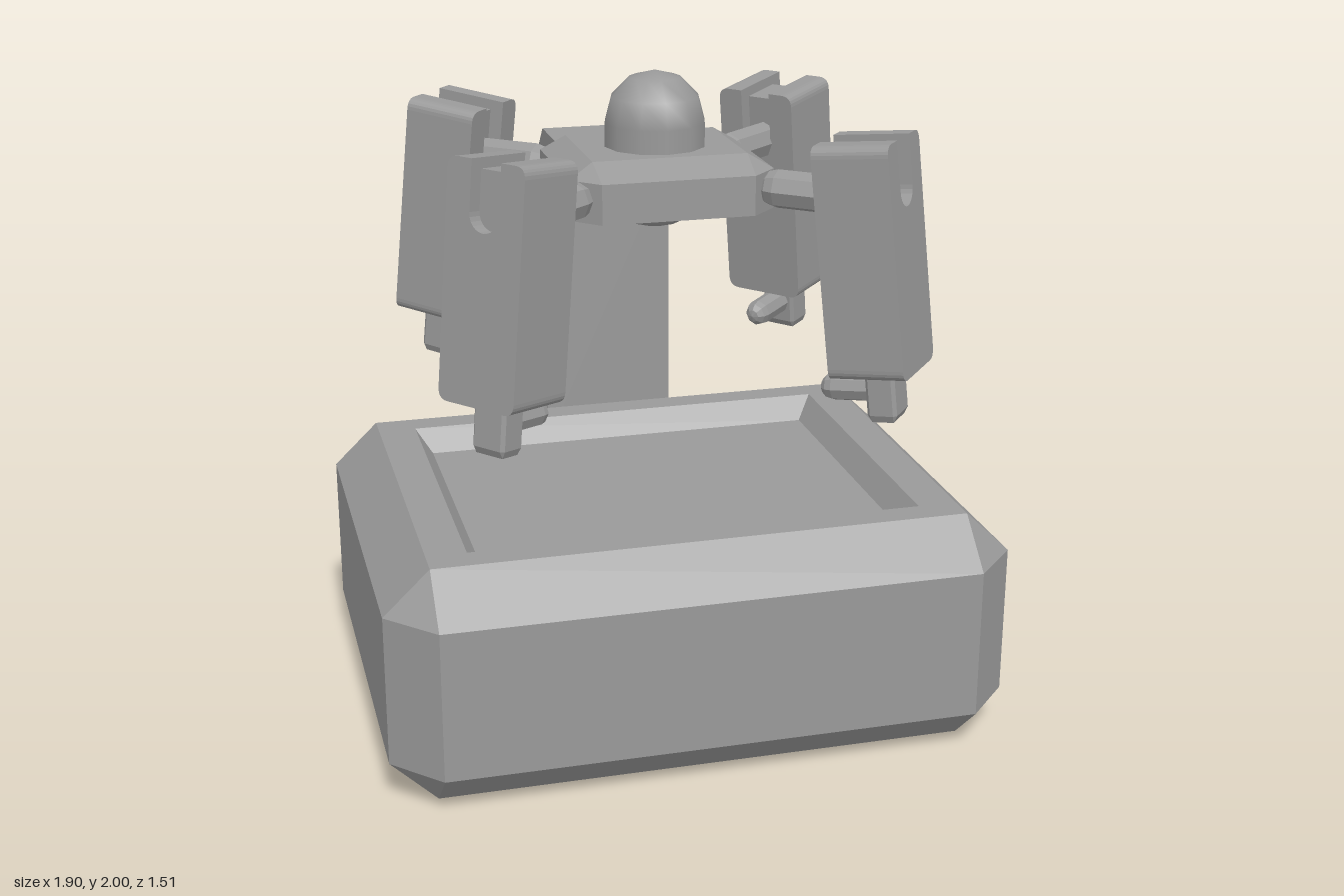
import * as THREE from 'three';

const material = new THREE.MeshStandardMaterial({ color: 0x999999 });
const flat = new THREE.MeshStandardMaterial({ color: 0x999999, flatShading: true });

function add(parent, name, geometry, mat = material) {
  const mesh = new THREE.Mesh(geometry, mat);
  mesh.name = name;
  parent.add(mesh);
  return mesh;
}

// Solid lofted through rectangles with cut corners: [y, halfX, halfZ, cutX, cutZ]
function loftRings(rings) {
  const loops = rings.map(([y, hx, hz, cx = 0, cz = 0]) => {
    const a = hx - cx, b = hz - cz;
    return [[hx, -b], [hx, b], [a, hz], [-a, hz], [-hx, b], [-hx, -b], [-a, -hz], [a, -hz]]
      .map(([x, z]) => new THREE.Vector3(x, y, z));
  });
  const positions = [];
  const tri = (a, b, c) => {
    if (a.equals(b) || b.equals(c) || a.equals(c)) return;
    for (const p of [a, b, c]) positions.push(p.x, p.y, p.z);
  };
  const first = loops[0], last = loops[loops.length - 1];
  const c0 = new THREE.Vector3(0, rings[0][0], 0);
  const c1 = new THREE.Vector3(0, rings[rings.length - 1][0], 0);
  for (let i = 0; i < 8; i++) {
    const j = (i + 1) % 8;
    tri(c0, first[i], first[j]);
    tri(c1, last[j], last[i]);
    for (let k = 0; k + 1 < loops.length; k++) {
      const lo = loops[k], hi = loops[k + 1];
      tri(lo[i], hi[i], hi[j]);
      tri(lo[i], hi[j], lo[j]);
    }
  }
  const geometry = new THREE.BufferGeometry();
  geometry.setAttribute('position', new THREE.Float32BufferAttribute(positions, 3));
  geometry.computeVertexNormals();
  return geometry;
}

// Round-ended rod lying along x, from x0 to x1
function rod(x0, x1, radius) {
  return new THREE.CapsuleGeometry(radius, x1 - x0 - 2 * radius, 3, 8)
    .rotateZ(Math.PI / 2).translate((x0 + x1) / 2, 0, 0);
}

// Limb housing: rounded slab with a U-shaped slot in its top, depth along x
function housingGeometry(width, height, depth) {
  const w = width / 2, h = height / 2, r = 0.035, s = 0.052, slot = 0.2;
  const shape = new THREE.Shape();
  shape.moveTo(-w + r, -h);
  shape.lineTo(w - r, -h);
  shape.quadraticCurveTo(w, -h, w, -h + r);
  shape.lineTo(w, h - r);
  shape.quadraticCurveTo(w, h, w - r, h);
  shape.lineTo(s, h);
  shape.lineTo(s, h - slot + s);
  shape.absarc(0, h - slot + s, s, 0, -Math.PI, true);
  shape.lineTo(-s, h);
  shape.lineTo(-w + r, h);
  shape.quadraticCurveTo(-w, h, -w, h - r);
  shape.lineTo(-w, -h + r);
  shape.quadraticCurveTo(-w, -h, -w + r, -h);
  return new THREE.ExtrudeGeometry(shape, { depth, bevelEnabled: false, curveSegments: 6 })
    .translate(0, 0, -depth / 2).rotateY(Math.PI / 2);
}

// One arm pointing along +x: shoulder rod, tilted housing, foot and inner peg
function createArm() {
  const arm = new THREE.Group();
  arm.name = 'arm';
  add(arm, 'shoulderRod', rod(0.345, 0.7, 0.058), flat).position.y = 1.68;

  const limb = new THREE.Group();
  limb.name = 'limb';
  limb.position.set(0.705, 1.513, 0);
  limb.rotation.z = THREE.MathUtils.degToRad(6.5);
  arm.add(limb);
  add(limb, 'housing', housingGeometry(0.272, 0.692, 0.232));
  add(limb, 'slotWeb', new THREE.BoxGeometry(0.104, 0.2, 0.104).scale(1.4, 1, 1))
    .position.set(0, 0.215, 0);
  const foot = loftRings([
    [-0.497, 0.033, 0.048], [-0.475, 0.046, 0.058, 0.01, 0.01], [-0.3, 0.046, 0.058, 0.01, 0.01],
  ]);
  add(limb, 'foot', foot).position.x = 0.01;
  add(limb, 'footPeg', rod(-0.195, 0.03, 0.042), flat).position.y = -0.405;
  return arm;
}

export function createModel() {
  const model = new THREE.Group();
  model.name = 'fourArmedStation';

  // Chamfered base with a shallow basin in its top
  add(model, 'base', loftRings([
    [0, 0.81, 0.61],
    [0.135, 0.95, 0.755, 0.14, 0.145],
    [0.6, 0.95, 0.755, 0.14, 0.145],
    [0.735, 0.81, 0.61],
    [0.735, 0.69, 0.522],
    [0.66, 0.64, 0.475],
  ]));

  // Bent support post, drawn in side profile (z, y) and extruded across x
  const profile = new THREE.Shape([
    [0.645, 0.6], [0.745, 0.6], [0.745, 1.6], [0.645, 1.7],
    [0.1, 1.7], [0.1, 1.612], [0.6, 1.612], [0.645, 1.57],
  ].map(([z, y]) => new THREE.Vector2(z, y)));
  add(model, 'post', new THREE.ExtrudeGeometry(profile, { depth: 0.43, bevelEnabled: false })
    .translate(0, 0, -0.215).rotateY(Math.PI / 2));

  // Hub plate and the round-ended core through it
  add(model, 'hubPlate', loftRings([
    [1.61, 0.31, 0.29, 0.08, 0.08],
    [1.73, 0.31, 0.29, 0.08, 0.08],
    [1.775, 0.235, 0.187],
  ]));
  add(model, 'core', new THREE.CapsuleGeometry(0.155, 0.17, 3, 12)).position.y = 1.76;

  // Four arms on the diagonals
  for (const degrees of [40, 140, 220, 320]) {
    const arm = createArm();
    arm.rotation.y = -THREE.MathUtils.degToRad(degrees);
    model.add(arm);
  }
  return model;
}
